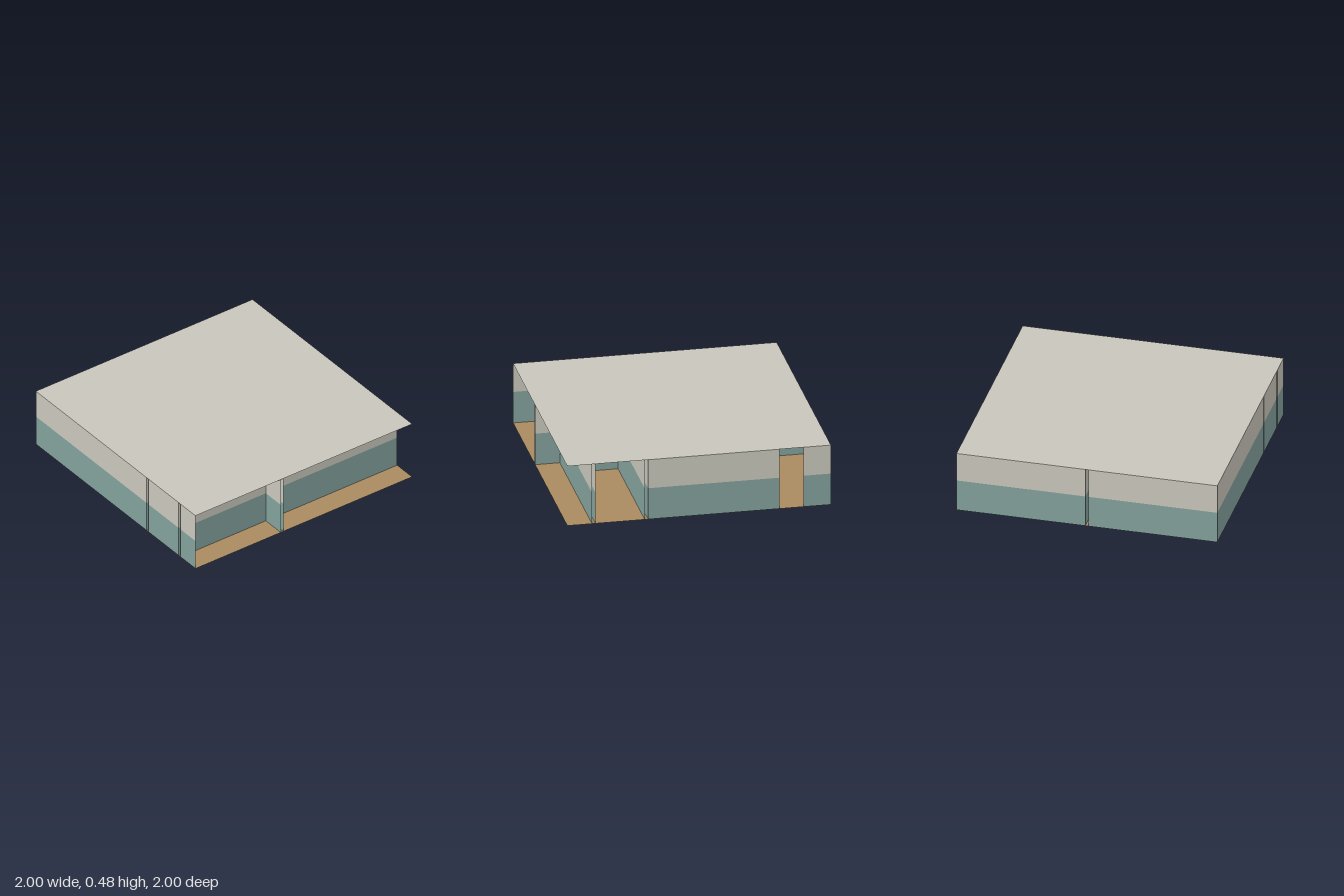
import * as THREE from 'three';

const HEIGHT = 0.48;   // storey height
const DADO = 0.25;     // top of the painted lower band
const G = 0.0125;      // half of the cavity between neighbouring rooms

export function createModel() {
  const model = new THREE.Group();
  model.name = 'floorPlan';

  const flat = (name, color) => {
    const m = new THREE.MeshStandardMaterial({ color, side: THREE.DoubleSide });
    m.name = name;
    return m;
  };
  const plaster = flat('plaster', 0xc8c6bb);
  const teal = flat('tealPaint', 0x82a09b);
  const wood = flat('woodFloor', 0xa98b60);

  // Horizontal sheet covering the whole plan
  const slab = (name, y, material) => {
    const mesh = new THREE.Mesh(new THREE.PlaneGeometry(2, 2), material);
    mesh.name = name;
    mesh.rotation.x = -Math.PI / 2;
    mesh.position.y = y;
    model.add(mesh);
  };
  slab('floor', 0, wood);
  slab('ceiling', HEIGHT, plaster);

  // Thin upright wall from (x0, z0) to (x1, z1), in two painted bands.
  // Reversing the ends turns its front the other way.
  const addWall = (parent, name, x0, z0, x1, z1) => {
    const wall = new THREE.Group();
    wall.name = name;
    const length = Math.hypot(x1 - x0, z1 - z0);
    const bands = [['lowerBand', 0, DADO, teal], ['upperBand', DADO, HEIGHT, plaster]];
    for (const [band, y0, y1, material] of bands) {
      const mesh = new THREE.Mesh(new THREE.PlaneGeometry(length, y1 - y0), material);
      mesh.name = band;
      mesh.position.y = (y0 + y1) / 2;
      wall.add(mesh);
    }
    wall.position.set((x0 + x1) / 2, 0, (z0 + z1) / 2);
    wall.rotation.y = Math.atan2(z0 - z1, x1 - x0);
    parent.add(wall);
  };

  // Rectangular room; sides listed in `open` have no wall,
  // and `door` is a full-height doorway [z0, z1] in the left wall
  const addRoom = (name, x0, x1, z0, z1, open = [], door = null) => {
    const room = new THREE.Group();
    room.name = name;
    if (!open.includes('back')) addWall(room, 'backWall', x0, z0, x1, z0);
    if (!open.includes('front')) addWall(room, 'frontWall', x1, z1, x0, z1);
    if (!open.includes('right')) addWall(room, 'rightWall', x0, z1, x0, z0);
    if (door) {
      addWall(room, 'leftWallBack', x1, z0, x1, door[0]);
      addWall(room, 'leftWallFront', x1, door[1], x1, z1);
    } else if (!open.includes('left')) {
      addWall(room, 'leftWall', x1, z0, x1, z1);
    }
    model.add(room);
  };

  // Large back rooms
  addRoom('backRightRoom', -1, -G, -1, 0.4 - G);
  addRoom('backLeftRoom', G, 1, -1, 0.4 - G, [], [-0.79, -0.61]);

  // Middle row
  addRoom('middleRightRoom', -1, -G, 0.4 + G, 0.8 - G);
  addRoom('middleLeftRoom', G, 1, 0.4 + G, 0.8 - G, ['left']);

  // Shallow front rooms, open to the front
  addRoom('frontRightRoom', -1, -0.2 - G, 0.8 + G, 1, ['front']);
  addRoom('frontLeftRoom', -0.2 + G, 1, 0.8 + G, 1, ['front', 'left']);

  // Closes the cavity where the room corners meet
  addWall(model, 'cavityClosure', G, 0.4 + G, G, 0.4 - G);

  return model;
}
